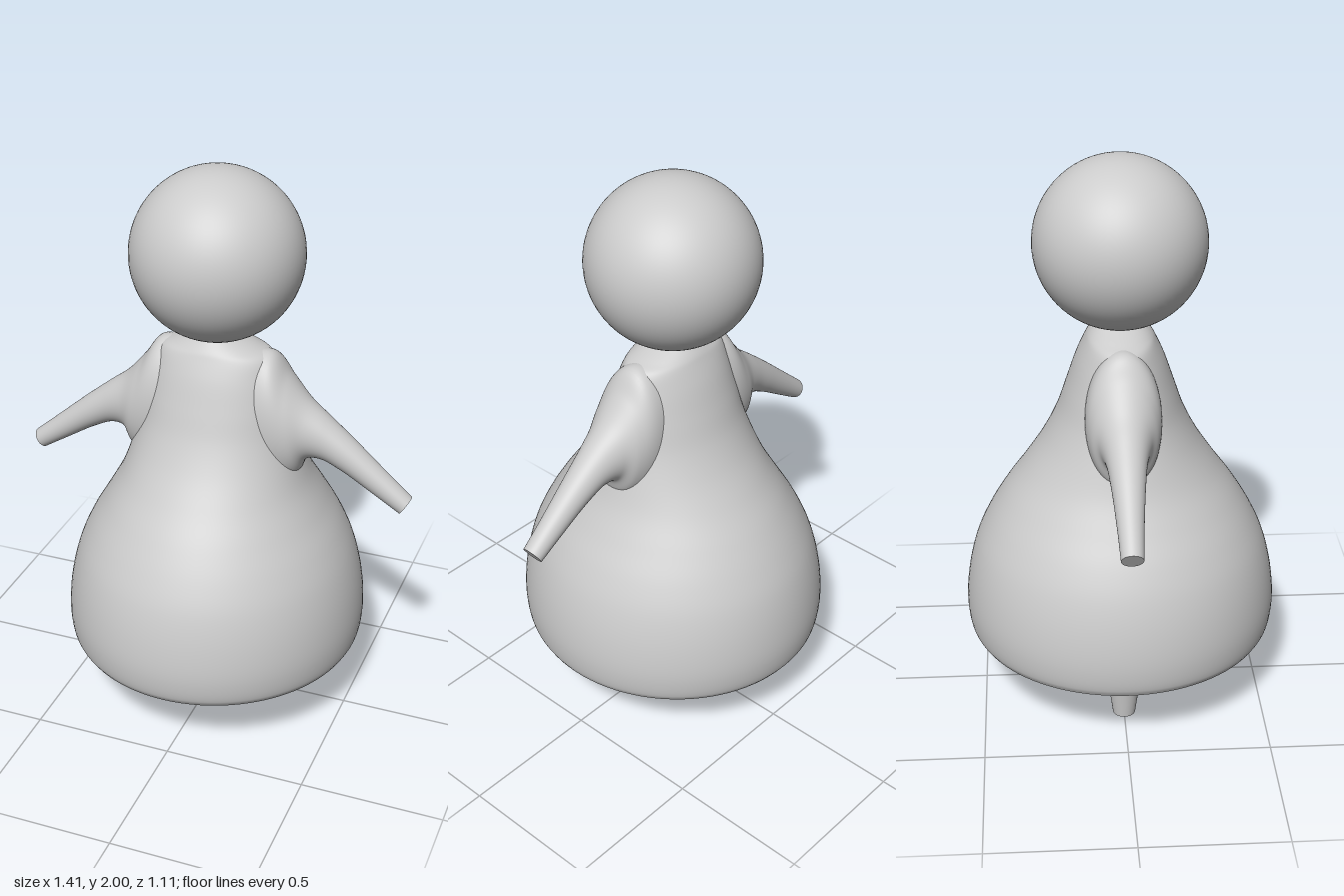
import * as THREE from 'three';

const material = new THREE.MeshStandardMaterial({ color: 0xcccccc });

function addMesh(parent, name, geometry) {
  const mesh = new THREE.Mesh(geometry, material);
  mesh.name = name;
  parent.add(mesh);
  return mesh;
}

// Smooth loft of elliptical sections. Each station is
// [x, y] of one edge, [x, y] of the opposite edge, and the half depth in z.
function loft(stations, steps, sides = 64) {
  const edgeA = new THREE.CatmullRomCurve3(stations.map(([ax, ay, , , hz]) => new THREE.Vector3(ax, ay, hz)));
  const edgeB = new THREE.CatmullRomCurve3(stations.map(([, , bx, by]) => new THREE.Vector3(bx, by, 0)));
  const pos = [], index = [];
  const ring = (t) => {
    const a = edgeA.getPoint(t), b = edgeB.getPoint(t);
    const cx = (a.x + b.x) / 2, cy = (a.y + b.y) / 2;
    for (let j = 0; j < sides; j++) {
      const angle = (j / sides) * Math.PI * 2, c = Math.cos(angle);
      pos.push(cx + (a.x - cx) * c, cy + (a.y - cy) * c, a.z * Math.sin(angle));
    }
    return [cx, cy, 0];
  };
  for (let i = 0; i <= steps; i++) ring(i / steps);
  for (let i = 0; i < steps; i++) {
    for (let j = 0; j < sides; j++) {
      const k = (j + 1) % sides, p = i * sides, q = p + sides;
      index.push(p + j, q + j, p + k, q + j, q + k, p + k);
    }
  }
  // Flat caps with their own vertices, so the rims stay sharp
  for (const t of [0, 1]) {
    const start = pos.length / 3;
    pos.push(...ring(t));
    const centre = start + sides;
    for (let j = 0; j < sides; j++) {
      const p = start + j, q = start + ((j + 1) % sides);
      index.push(centre, ...(t ? [q, p] : [p, q]));
    }
  }
  const geometry = new THREE.BufferGeometry();
  geometry.setAttribute('position', new THREE.Float32BufferAttribute(pos, 3));
  geometry.setIndex(index);
  geometry.computeVertexNormals();
  return geometry;
}

export function createModel() {
  const model = new THREE.Group();
  model.name = 'figure';

  // Bell-shaped dress: height, half width, half depth
  const dress = [
    [0.25, 0.515, 0.53], [0.275, 0.527, 0.545], [0.36, 0.535, 0.556], [0.48, 0.523, 0.545],
    [0.6, 0.492, 0.515], [0.7, 0.448, 0.47], [0.8, 0.39, 0.41], [0.9, 0.336, 0.338],
    [1.0, 0.3, 0.272], [1.1, 0.27, 0.222], [1.2, 0.25, 0.187], [1.3, 0.225, 0.152],
    [1.365, 0.2, 0.122], [1.39, 0.15, 0.108], [1.42, 0.08, 0.08],
  ];
  addMesh(model, 'dress', loft(dress.map(([y, w, d]) => [w, y, -w, y, d]), 84, 96));

  // Sleeved arms flaring into the shoulders: lower edge, upper edge, half depth
  const arm = loft([
    [0.1, 0.95, 0.1, 1.375, 0.12], [0.22, 0.9, 0.2, 1.38, 0.13], [0.3, 0.94, 0.26, 1.305, 0.115],
    [0.335, 1.005, 0.33, 1.225, 0.088], [0.385, 1.012, 0.4, 1.17, 0.07], [0.46, 0.98, 0.487, 1.1, 0.057],
    [0.575, 0.91, 0.615, 0.99, 0.044], [0.667, 0.853, 0.705, 0.913, 0.037],
  ], 56);
  addMesh(model, 'leftArm', arm);
  addMesh(model, 'rightArm', arm).rotation.y = Math.PI;

  // Round head
  addMesh(model, 'head', new THREE.SphereGeometry(0.295, 64, 48)).position.y = 1.705;

  // Tapered legs
  const leg = new THREE.CylinderGeometry(0.076, 0.04, 0.26, 40);
  addMesh(model, 'leftLeg', leg).position.set(0.25, 0.13, 0);
  addMesh(model, 'rightLeg', leg).position.set(-0.25, 0.13, 0);

  return model;
}
